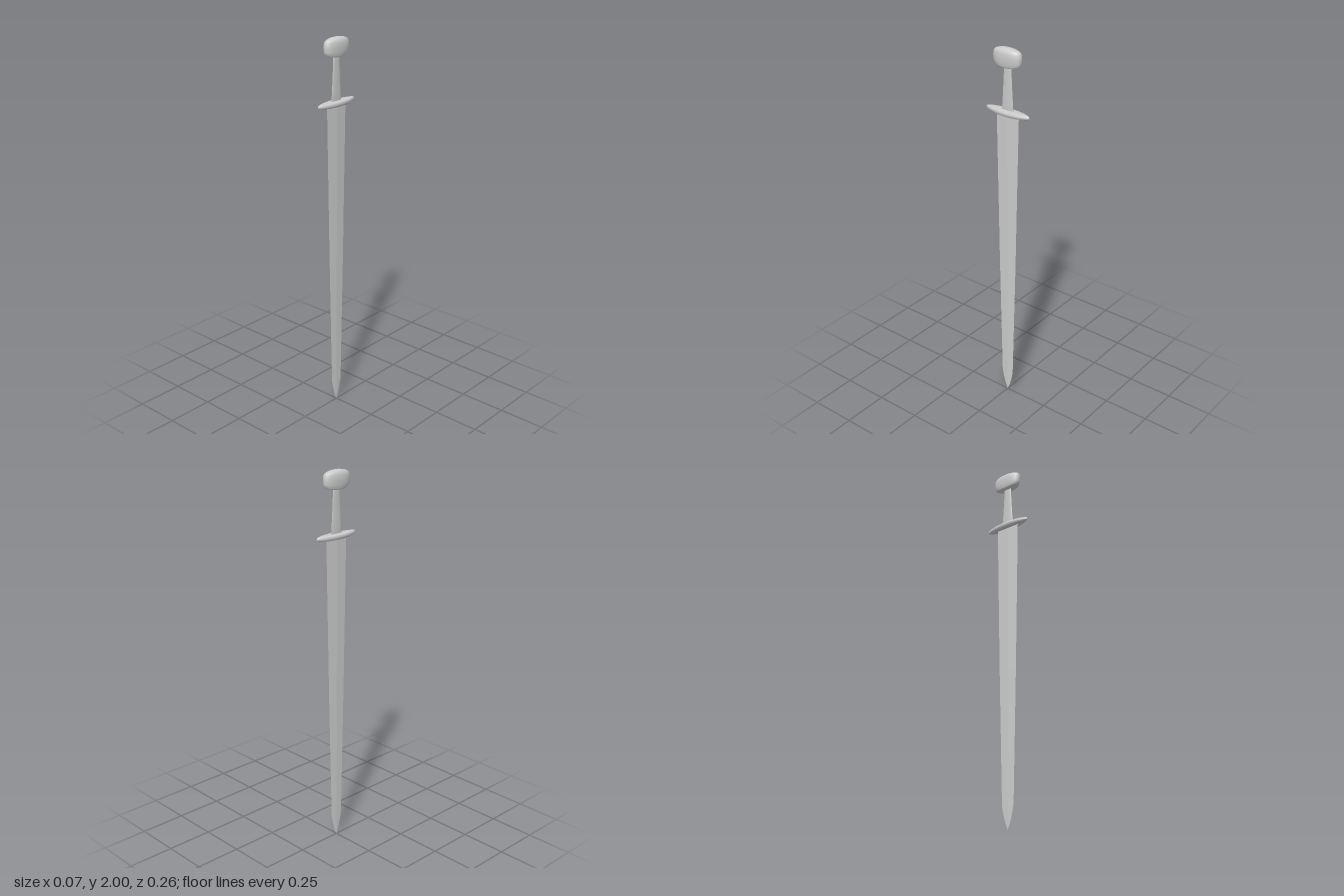
import * as THREE from 'three';

const spow = (v, p) => Math.sign(v) * Math.abs(v) ** p;

// Lofts a closed solid through rings [y, halfX, halfZ, rise at the z ends].
// px and pz shape the outline: 1 is an ellipse, above 1 pointed, below 1 squarer.
function loft(name, rings, { sides = 32, px = 1, pz = 1, flat = false } = {}) {
  const pos = [], idx = [];
  rings.forEach(([y, hx, hz, rise = 0]) => {
    for (let j = 0; j < sides; j++) {
      const a = (j / sides) * Math.PI * 2;
      const c = Math.abs(Math.cos(a)) < 1e-9 ? 0 : Math.cos(a);
      const s = Math.abs(Math.sin(a)) < 1e-9 ? 0 : Math.sin(a);
      const z = spow(c, pz);
      pos.push(hx * spow(s, px), y + rise * z * z, hz * z);
    }
  });
  const last = rings.length - 1;
  const bottom = pos.length / 3, top = bottom + 1;
  pos.push(0, rings[0][0], 0, 0, rings[last][0], 0);
  for (let j = 0; j < sides; j++) {
    const k = (j + 1) % sides;
    for (let i = 0; i < last; i++) {
      const a = i * sides + j, b = i * sides + k;
      idx.push(a, b, b + sides, a, b + sides, a + sides);
    }
    idx.push(bottom, k, j, top, last * sides + j, last * sides + k);
  }
  let geometry = new THREE.BufferGeometry();
  geometry.setAttribute('position', new THREE.Float32BufferAttribute(pos, 3));
  geometry.setIndex(idx);
  if (flat) geometry = geometry.toNonIndexed();
  geometry.computeVertexNormals();
  const mesh = new THREE.Mesh(
    geometry,
    new THREE.MeshStandardMaterial({ color: 0xcccccc, flatShading: flat })
  );
  mesh.name = name;
  return mesh;
}

export function createModel() {
  const sword = new THREE.Group();
  sword.name = 'sword';

  // Thin diamond-section blade, tapering to a rounded point
  sword.add(loft('blade', [
    [0, 0.0003, 0.0005],
    [0.03, 0.001, 0.013],
    [0.07, 0.0015, 0.025],
    [0.12, 0.002, 0.035],
    [0.83, 0.003, 0.052],
    [1.67, 0.004, 0.068],
  ], { sides: 4, flat: true }));

  // Lens-shaped crossguard with rounded rim
  sword.add(loft('crossguard', [
    [1.659, 0.012, 0.085, 0.004],
    [1.66, 0.025, 0.118, 0.004],
    [1.666, 0.03, 0.13, 0.002],
    [1.674, 0.031, 0.132],
    [1.681, 0.03, 0.13],
    [1.685, 0.026, 0.12],
    [1.686, 0.012, 0.085],
  ], { sides: 40, px: 1.4 }));

  // Flat grip, narrowing towards the pommel
  sword.add(loft('grip', [
    [1.675, 0.005, 0.036],
    [1.74, 0.005, 0.031],
    [1.82, 0.005, 0.026],
    [1.88, 0.005, 0.023],
    [1.925, 0.005, 0.022],
  ]));

  // Rounded pommel with a bowed underside and domed top
  sword.add(loft('pommel', [
    [1.905, 0.012, 0.04, 0.003],
    [1.906, 0.024, 0.066, 0.008],
    [1.912, 0.028, 0.076, 0.008],
    [1.93, 0.031, 0.08, 0.004],
    [1.955, 0.033, 0.082],
    [1.977, 0.031, 0.08],
    [1.99, 0.026, 0.072, -0.003],
    [1.997, 0.019, 0.055, -0.003],
    [2, 0.009, 0.028, -0.001],
  ], { px: 0.85, pz: 0.9 }));

  return sword;
}
